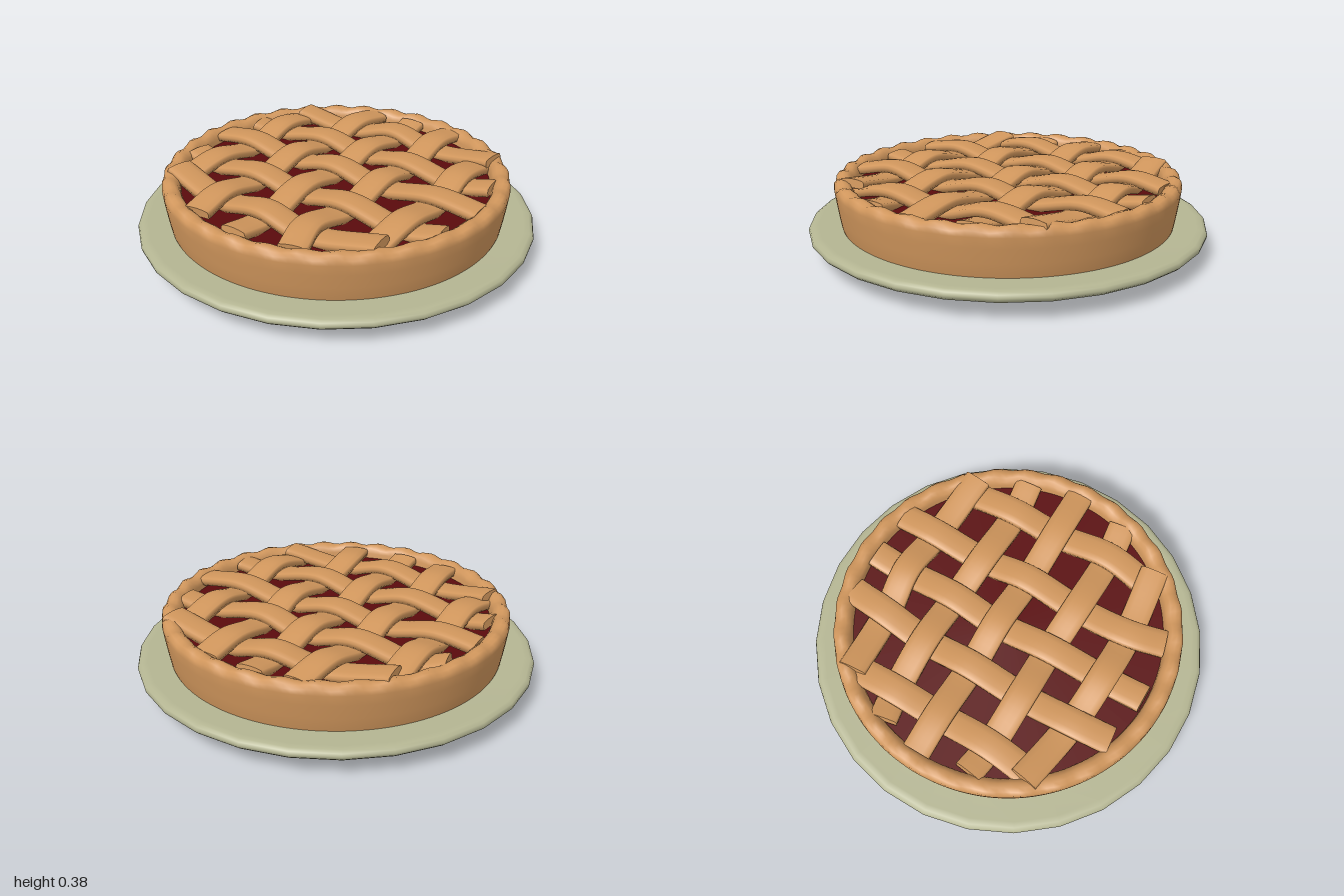
import * as THREE from 'three';
import { mergeVertices } from 'three/addons/utils/BufferGeometryUtils.js';

const material = (name, color) => {
  const m = new THREE.MeshStandardMaterial({ color });
  m.name = name;
  return m;
};

const lathe = (points, segments) =>
  new THREE.LatheGeometry(points.map(([r, y]) => new THREE.Vector2(r, y)), segments);

// Rounded-rectangle cross-section of a dough strip: [across, up]
const SECTION = [
  [-0.068, -0.02], [0.068, -0.02], [0.071, 0.004], [0.064, 0.017], [0.035, 0.022],
  [0, 0.024], [-0.035, 0.022], [-0.064, 0.017], [-0.071, 0.004],
];

// Sweep the section along a curve, keeping it level across its width
function stripGeometry(points) {
  const curve = new THREE.CatmullRomCurve3(points);
  const steps = 48, n = SECTION.length;
  const pos = [], index = [];
  const up = new THREE.Vector3(0, 1, 0);
  for (let s = 0; s <= steps; s++) {
    const p = curve.getPoint(s / steps);
    const t = curve.getTangent(s / steps);
    const side = new THREE.Vector3().crossVectors(t, up).normalize();
    const normal = new THREE.Vector3().crossVectors(side, t);
    for (const [a, b] of SECTION) {
      const v = p.clone().addScaledVector(side, a).addScaledVector(normal, b);
      pos.push(v.x, v.y, v.z);
    }
  }
  for (let s = 0; s < steps; s++) {
    for (let k = 0; k < n; k++) {
      const a = s * n + k, b = s * n + (k + 1) % n;
      index.push(a, b, a + n, b, b + n, a + n);
    }
  }
  // End caps with their own vertices so the cut edges stay sharp
  for (const s of [0, steps]) {
    const base = pos.length / 3;
    for (let k = 0; k < n * 3; k++) pos.push(pos[s * n * 3 + k]);
    for (let k = 1; k < n - 1; k++) {
      if (s === 0) index.push(base, base + k + 1, base + k);
      else index.push(base, base + k, base + k + 1);
    }
  }
  const g = new THREE.BufferGeometry();
  g.setAttribute('position', new THREE.Float32BufferAttribute(pos, 3));
  g.setIndex(index);
  g.computeVertexNormals();
  return g;
}

// Lattice layout: start and end along the strip, then sideways position at start,
// the five crossings and the end
const ALONG_Z = [
  [-0.56, 0.5, [-0.58, -0.58, -0.58, -0.575, -0.58, -0.59, -0.60]],
  [-0.75, 0.72, [-0.25, -0.27, -0.285, -0.29, -0.29, -0.29, -0.29 + 0.02]],
  [-0.77, 0.76, [-0.02, -0.02, -0.025, -0.03, -0.025, -0.01, -0.01]],
  [-0.76, 0.72, [0.23, 0.225, 0.235, 0.245, 0.245, 0.24, 0.29]],
  [-0.56, 0.5, [0.53, 0.53, 0.535, 0.55, 0.56, 0.545, 0.54]],
];
const ALONG_X = [
  [-0.60, 0.60, [-0.52, -0.53, -0.55, -0.58, -0.57, -0.55, -0.54]],
  [-0.73, 0.72, [-0.26, -0.29, -0.30, -0.30, -0.28, -0.28, -0.30]],
  [-0.78, 0.79, [-0.04, -0.04, -0.04, -0.04, -0.035, -0.03, -0.035]],
  [-0.74, 0.75, [0.22, 0.24, 0.25, 0.245, 0.26, 0.26, 0.24]],
  [-0.64, 0.60, [0.46, 0.48, 0.52, 0.54, 0.54, 0.51, 0.50]],
];
const OVER = 0.359, UNDER = 0.307, END = 0.335;

// Weave points for strip i of one direction, crossing the other five strips
function weave(strip, i, others, alongZ) {
  const [start, end, drift] = strip;
  const outer = i === 0 || i === 4;
  const put = (u, v, y) => (alongZ ? new THREE.Vector3(v, y, u) : new THREE.Vector3(u, y, v));
  const height = (j) => (((i + j) % 2 === 1) === alongZ ? OVER : UNDER);
  const points = [put(start, drift[0], outer ? height(0) : END)];
  for (let j = outer ? 1 : 0; j < (outer ? 4 : 5); j++) {
    points.push(put(others[j][2][i + 1], drift[j + 1], height(j)));
  }
  points.push(put(end, drift[6], outer ? height(4) : END));
  return points;
}

// Pie shell with a crimped rim: the upper profile swells in slanted bumps
function crustGeometry() {
  const g = lathe([
    [0.825, 0.1], [0.838, 0.14], [0.848, 0.2], [0.858, 0.27], [0.864, 0.32], [0.86, 0.343],
    [0.846, 0.358], [0.825, 0.364], [0.803, 0.36], [0.785, 0.347], [0.775, 0.325], [0.77, 0.28],
  ], 160);
  const p = g.attributes.position;
  for (let k = 0; k < p.count; k++) {
    const x = p.getX(k), y = p.getY(k), z = p.getZ(k);
    const r = Math.hypot(x, z);
    const weight = THREE.MathUtils.smoothstep(y, 0.31, 0.36);
    const bump = Math.sin(32 * Math.atan2(x, z) + (r - 0.82) * 25);
    const s = 1 + 0.004 * weight * bump;
    p.setXYZ(k, x * s, y + 0.007 * weight * bump, z * s);
  }
  g.deleteAttribute('uv');
  g.deleteAttribute('normal');
  const merged = mergeVertices(g);
  merged.computeVertexNormals();
  return merged;
}

export function createModel() {
  const group = new THREE.Group();
  const dough = material('baked dough', 0xd0965c);
  const cherry = material('cherry filling', 0x5a0a0c);
  const ceramic = material('sage ceramic', 0xb4b592);
  dough.side = THREE.DoubleSide;

  const add = (name, geometry, mat, parent = group) => {
    const mesh = new THREE.Mesh(geometry, mat);
    mesh.name = name;
    parent.add(mesh);
    return mesh;
  };

  // Plate with a flared underside and a rounded lip
  const plate = add('plate', lathe([
    [0, 0], [0.585, 0], [0.6, 0.003], [0.96, 0.078], [0.985, 0.088], [0.998, 0.1], [1, 0.112],
    [0.995, 0.126], [0.978, 0.135], [0.95, 0.137], [0.8, 0.13], [0, 0.13],
  ], 28), ceramic);
  plate.rotation.y = Math.PI / 28;

  add('crust', crustGeometry(), dough);

  const filling = add('filling', new THREE.CircleGeometry(0.785, 64), cherry);
  filling.rotation.x = -Math.PI / 2;
  filling.position.y = 0.3;

  // Woven lattice top
  const lattice = new THREE.Group();
  lattice.name = 'lattice';
  group.add(lattice);
  for (let i = 0; i < 5; i++) {
    add('latticeStripLengthwise', stripGeometry(weave(ALONG_Z[i], i, ALONG_X, true)), dough, lattice);
    add('latticeStripCrosswise', stripGeometry(weave(ALONG_X[i], i, ALONG_Z, false)), dough, lattice);
  }
  return group;
}
